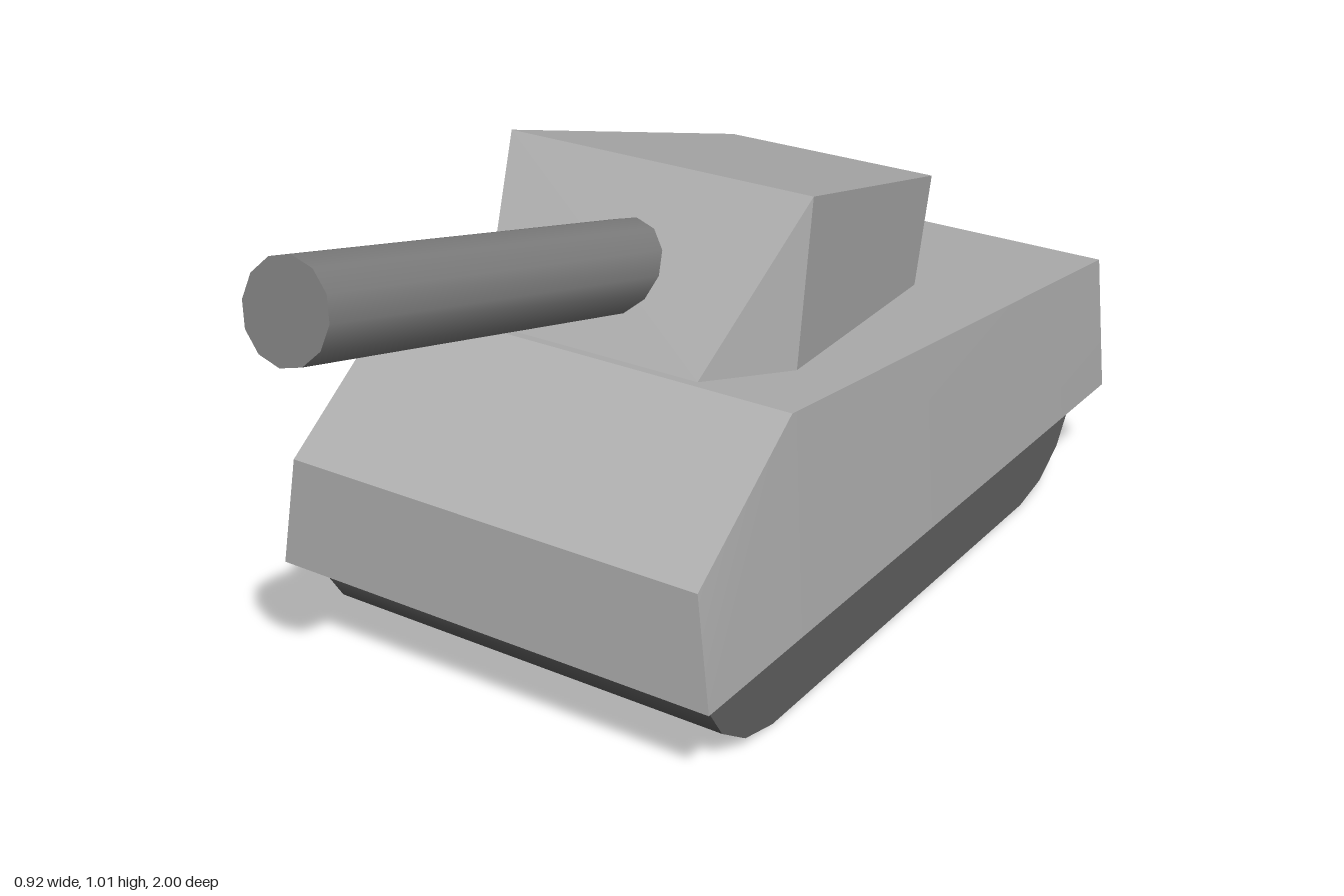
import * as THREE from 'three';
import { toCreasedNormals } from 'three/addons/utils/BufferGeometryUtils.js';

const armour = new THREE.MeshStandardMaterial({ color: 0xaeaeae });
const gunMetal = new THREE.MeshStandardMaterial({ color: 0x7f7f7f });
const darkRubber = new THREE.MeshStandardMaterial({ color: 0x626262 });

function part(name, geometry, material) {
  const mesh = new THREE.Mesh(geometry, material);
  mesh.name = name;
  return mesh;
}

// Mirrored faceted solid from a side profile of [half width, y, z], going
// from the front over the top to the back; the sides fan out from one corner.
function facetedSolid(profile, fanCorner) {
  const n = profile.length;
  const left = profile;
  const right = profile.map(([x, y, z]) => [-x, y, z]);
  const positions = [];
  const triangle = (a, b, c) => positions.push(...a, ...b, ...c);
  for (let i = 0; i < n; i++) {
    const j = (i + 1) % n;
    triangle(left[i], left[j], right[j]);
    triangle(left[i], right[j], right[i]);
    if (i !== fanCorner && j !== fanCorner) {
      triangle(left[fanCorner], left[j], left[i]);
      triangle(right[fanCorner], right[i], right[j]);
    }
  }
  const geometry = new THREE.BufferGeometry();
  geometry.setAttribute('position', new THREE.Float32BufferAttribute(positions, 3));
  // Only the slight fold within each side plate is smoothed
  return toCreasedNormals(geometry, 0.25);
}

// Running gear: a rounded-bottom profile (z, y) extruded across the width
function runningGearGeometry() {
  const halfWidth = 0.42, centerZ = -0.215;
  const curve = [[0.715, 0.185], [0.71, 0.145], [0.66, 0.07], [0.585, 0.02], [0.495, 0]];
  const outline = [
    ...curve.map(([z, y]) => new THREE.Vector2(centerZ + z, y)),
    ...curve.slice().reverse().map(([z, y]) => new THREE.Vector2(centerZ - z, y)),
  ];
  const geometry = new THREE.ExtrudeGeometry(new THREE.Shape(outline), {
    depth: halfWidth * 2, bevelEnabled: false,
  });
  geometry.rotateY(-Math.PI / 2).translate(halfWidth, 0, 0);
  return toCreasedNormals(geometry, 0.8);
}

export function createModel() {
  const model = new THREE.Group();
  model.name = 'tank';

  model.add(part('runningGear', runningGearGeometry(), darkRubber));

  // Hull: sloped nose, ridge, deck falling toward the rear
  model.add(part('hull', facetedSolid([
    [0.46, 0.176, 0.55],
    [0.43, 0.389, 0.54],
    [0.43, 0.595, 0.255],
    [0.43, 0.455, -1],
    [0.46, 0.176, -1],
  ], 2), armour));

  // Turret: wedge front with angled cheeks, narrowing to the rear
  model.add(part('turret', facetedSolid([
    [0.23, 0.593, 0.235],
    [0.323, 0.882, 0.018],
    [0.23, 0.718, -0.605],
    [0.23, 0.503, -0.553],
    [0.323, 0.573, 0.06],
  ], 1), armour));

  // Gun barrel, raised slightly, its root buried in the turret
  const root = new THREE.Vector3(0, 0.689, 0);
  const muzzle = new THREE.Vector3(0, 0.931, 0.98);
  const axis = muzzle.clone().sub(root);
  const barrel = part('barrel',
    new THREE.CylinderGeometry(0.085, 0.085, axis.length(), 12), gunMetal);
  barrel.position.copy(root).add(muzzle).multiplyScalar(0.5);
  barrel.rotation.x = Math.atan2(axis.z, axis.y);
  model.add(barrel);

  return model;
}
